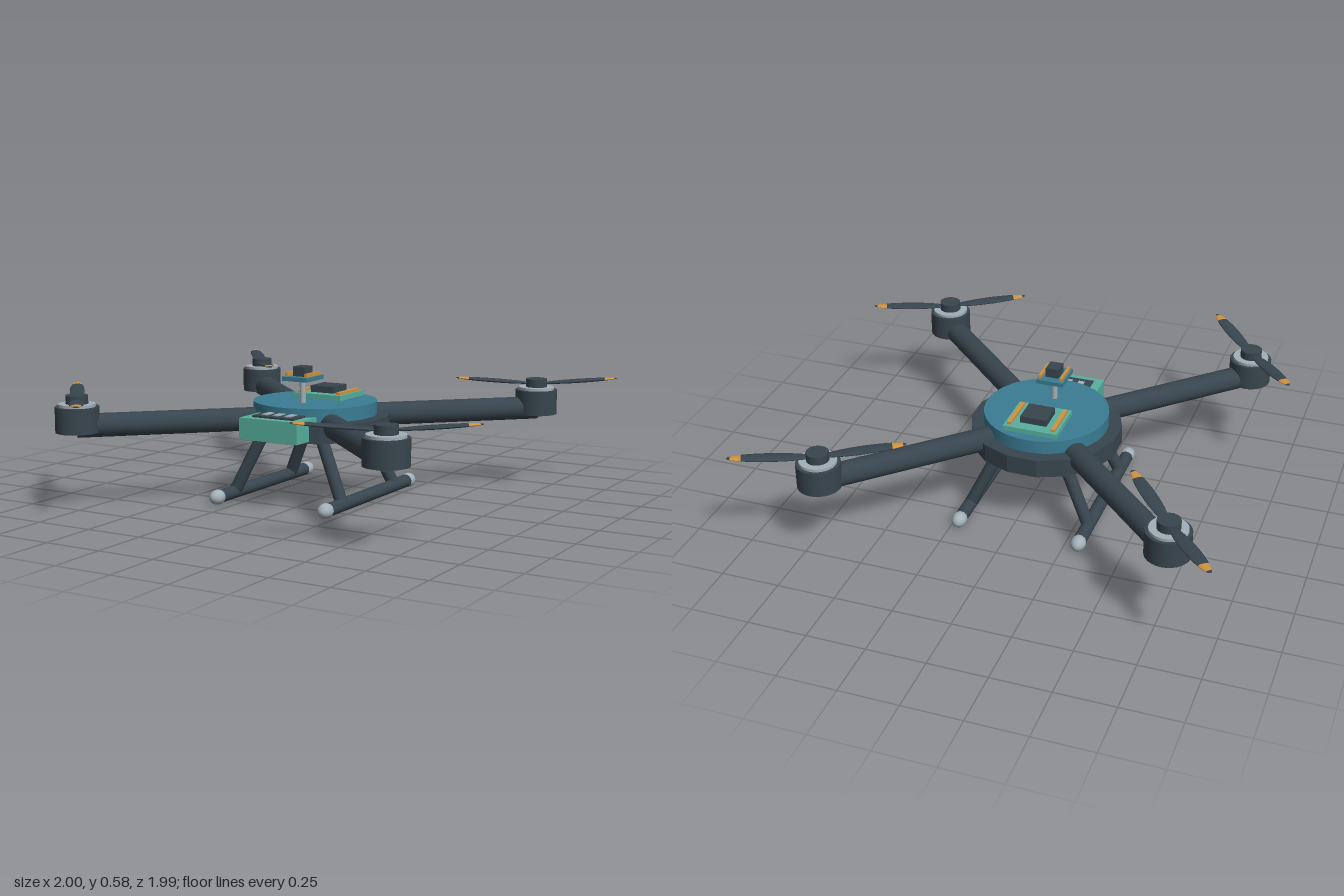
import * as THREE from 'three';

const mat = (name, color) => {
  const m = new THREE.MeshStandardMaterial({ color });
  m.name = name;
  return m;
};

export function createModel() {
  const charcoal = mat('charcoal', 0x38454e);
  const blue = mat('deckBlue', 0x3a7c93);
  const green = mat('boardGreen', 0x58b09e);
  const orange = mat('orange', 0xd2933f);
  const silver = mat('silver', 0xa3afb8);

  const model = new THREE.Group();
  model.name = 'quadcopter';
  const CX = -0.05; // body axis

  const add = (parent, name, geometry, material, x = 0, y = 0, z = 0) => {
    const mesh = new THREE.Mesh(geometry, material);
    mesh.name = name;
    mesh.position.set(x, y, z);
    parent.add(mesh);
    return mesh;
  };
  // box from its bottom height
  const box = (name, material, w, h, d, x, y, z) =>
    add(model, name, new THREE.BoxGeometry(w, h, d), material, x, y + h / 2, z);
  const disc = (parent, name, material, r, y0, y1, sides, x = 0, z = 0) =>
    add(parent, name, new THREE.CylinderGeometry(r, r, y1 - y0, sides), material, x, (y0 + y1) / 2, z);
  // round bar between two points
  const bar = (name, material, a, b, r) => {
    const dir = new THREE.Vector3().subVectors(b, a);
    const mesh = add(model, name, new THREE.CylinderGeometry(r, r, dir.length(), 20), material);
    mesh.position.copy(a).addScaledVector(dir, 0.5);
    mesh.quaternion.setFromUnitVectors(new THREE.Vector3(0, 1, 0), dir.normalize());
    return mesh;
  };

  // body
  const base = add(model, 'basePlate', new THREE.CylinderGeometry(0.325, 0.325, 0.08, 16).toNonIndexed(), charcoal, CX, 0.325, 0);
  base.geometry.computeVertexNormals();
  base.rotation.y = Math.PI / 16;
  disc(model, 'topDeck', blue, 0.267, 0.36, 0.423, 48, CX);

  // front battery box with vent
  box('frontBox', green, 0.28, 0.092, 0.2, CX, 0.295, 0.284);
  box('ventPanel', charcoal, 0.2, 0.009, 0.13, CX, 0.386, 0.283);
  for (const i of [-1, 0, 1]) box('ventBar', silver, 0.027, 0.006, 0.07, CX + i * 0.055, 0.393, 0.287);

  // rear circuit board
  box('rearBoard', green, 0.235, 0.025, 0.21, CX, 0.42, -0.117);
  box('rearChip', charcoal, 0.115, 0.03, 0.115, CX, 0.444, -0.117);
  for (const s of [-1, 1]) box('rearConnector', orange, 0.018, 0.012, 0.175, CX + s * 0.096, 0.444, -0.117);

  // raised sensor on a mast
  disc(model, 'mast', silver, 0.013, 0.42, 0.525, 16, CX, 0.103);
  box('sensorPlate', blue, 0.12, 0.018, 0.14, CX, 0.521, 0.103);
  box('sensorChip', charcoal, 0.058, 0.042, 0.065, CX, 0.538, 0.103);
  for (const s of [-1, 1]) box('sensorConnector', orange, 0.011, 0.016, 0.115, CX + s * 0.047, 0.539, 0.103);

  // propeller blade: one elliptical outline cut into coloured lengths
  const bladeRadius = (r) => 0.031 * Math.sqrt(Math.max(0, 1 - ((r - 0.187) / 0.173) ** 2));
  const bladePiece = (r0, r1) => {
    const pts = [];
    for (let i = 0; i <= 12; i++) {
      const r = r0 + ((r1 - r0) * i) / 12;
      pts.push(new THREE.Vector2(bladeRadius(r), r));
    }
    const g = new THREE.LatheGeometry(pts, 16);
    g.scale(1, 1, 0.27); // flatten
    g.rotateX(Math.PI / 2); // length along z, thin in y
    return g;
  };
  const bladeParts = [
    ['blade', bladePiece(0.014, 0.302), charcoal],
    ['bladeBand', bladePiece(0.302, 0.346), orange],
    ['bladeTip', bladePiece(0.346, 0.36), charcoal],
  ];

  // bell of the motor: dark wall around a recessed top
  const bellGeometry = new THREE.LatheGeometry(
    [[0, 0], [0.092, 0], [0.092, 0], [0.092, 0.108], [0.092, 0.108], [0.077, 0.108], [0.077, 0.108], [0.077, 0.09]]
      .map(([x, y]) => new THREE.Vector2(x, y)), 28);

  // arms, motors and propellers
  for (const sx of [-1, 1]) for (const sz of [-1, 1]) {
    const x = CX + sx * 0.727, z = sz * 0.713;
    bar('arm', charcoal, new THREE.Vector3(CX + sx * 0.14, 0.35, sz * 0.137), new THREE.Vector3(x, 0.35, z), 0.05);

    const motor = new THREE.Group();
    motor.name = 'motor';
    motor.position.set(x, 0, z);
    model.add(motor);
    add(motor, 'motorBell', bellGeometry, charcoal, 0, 0.324, 0);
    disc(motor, 'motorRing', silver, 0.078, 0.4, 0.444, 28);
    disc(motor, 'propellerHub', charcoal, 0.047, 0.44, 0.48, 24);

    const propeller = new THREE.Group();
    propeller.name = 'propeller';
    propeller.position.y = 0.458;
    propeller.rotation.y = sx > 0 ? Math.atan2(0.32, -0.17) : Math.atan2(0.224, 0.278);
    motor.add(propeller);
    for (const turn of [0, Math.PI]) {
      const half = new THREE.Group();
      half.name = 'propellerBlade';
      half.rotation.set(-0.07, turn, 0, 'YXZ'); // slight upward sweep
      propeller.add(half);
      for (const [name, g, m] of bladeParts) add(half, name, g, m);
    }
  }

  // landing gear
  for (const sx of [-1, 1]) {
    const x = CX + sx * 0.265;
    bar('skid', charcoal, new THREE.Vector3(x, 0.032, -0.36), new THREE.Vector3(x, 0.032, 0.36), 0.028);
    for (const sz of [-1, 1]) {
      const tip = add(model, 'skidTip', new THREE.SphereGeometry(0.032, 20, 14), silver, x, 0.032, sz * 0.365);
      tip.scale.z = 1.3;
      bar('leg', charcoal, new THREE.Vector3(CX + sx * 0.14, 0.3, sz * 0.188), new THREE.Vector3(x, 0.035, sz * 0.23), 0.027);
    }
  }
  return model;
}
